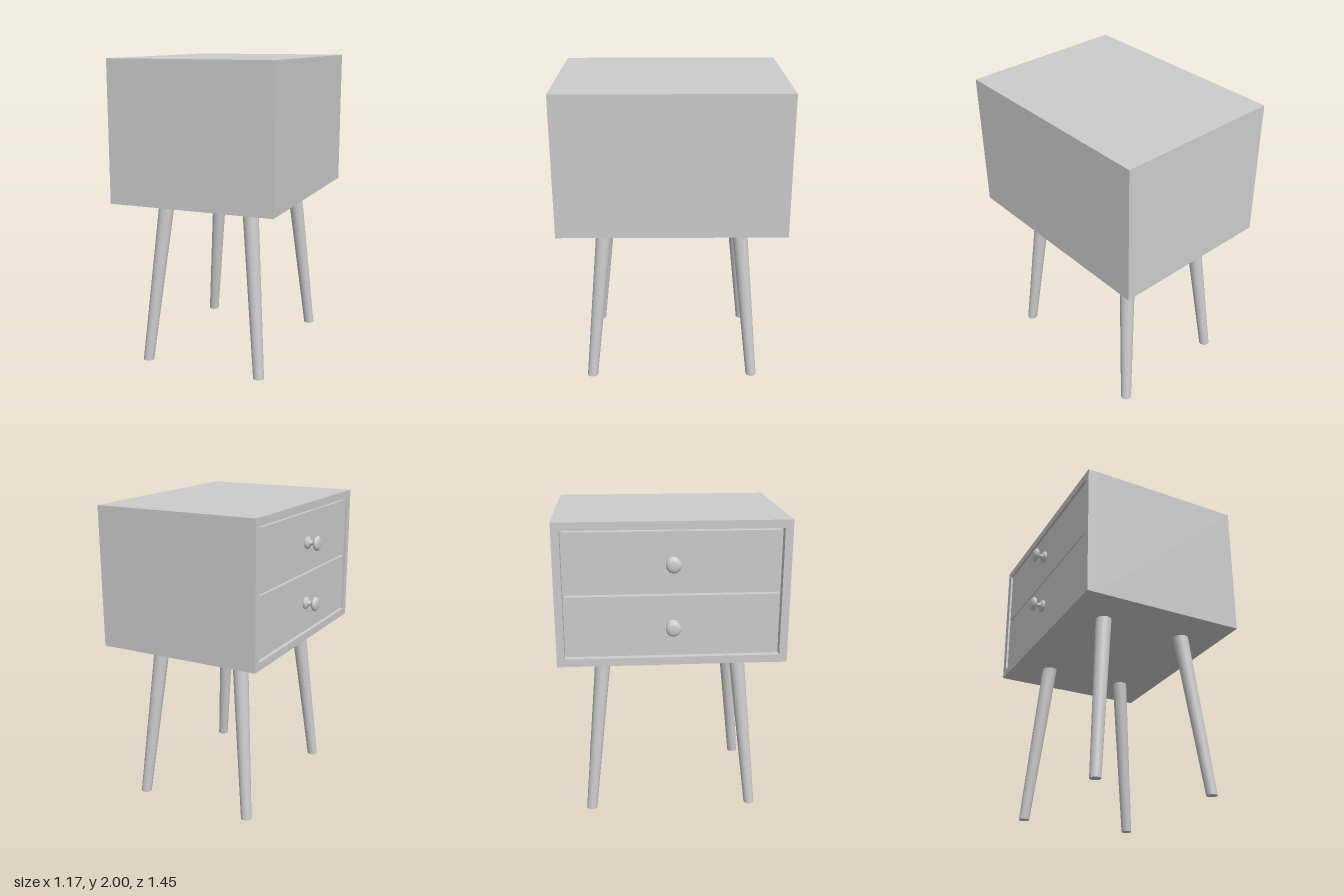
import * as THREE from 'three';

const material = new THREE.MeshStandardMaterial({ color: 0xcccccc });

// Cabinet extents
const FRONT = -0.505, BACK = 0.585, BOTTOM = 1.095, TOP = 2, HALF_W = 0.725;
const FRAME = 0.05, CAVITY = 0.06, GAP = 0.012, RECESS = 0.01;
const MID_X = (FRONT + BACK) / 2, MID_Y = (BOTTOM + TOP) / 2;

function addMesh(parent, name, geometry, x = 0, y = 0, z = 0) {
  const mesh = new THREE.Mesh(geometry, material);
  mesh.name = name;
  mesh.position.set(x, y, z);
  parent.add(mesh);
  return mesh;
}

function rectangle(PathType, halfW, halfH) {
  return new PathType([
    new THREE.Vector2(-halfW, -halfH), new THREE.Vector2(halfW, -halfH),
    new THREE.Vector2(halfW, halfH), new THREE.Vector2(-halfW, halfH),
  ]);
}

// Front rim around the drawers, facing -x
function frameGeometry() {
  const halfH = (TOP - BOTTOM) / 2;
  const shape = rectangle(THREE.Shape, HALF_W, halfH);
  shape.holes.push(rectangle(THREE.Path, HALF_W - FRAME, halfH - FRAME));
  return new THREE.ExtrudeGeometry(shape, { depth: CAVITY, bevelEnabled: false }).rotateY(-Math.PI / 2);
}

// Turned knob: rosette, flared neck and rounded head
function knobGeometry() {
  const control = [
    [0.018, 0.026], [0.013, 0.038], [0.014, 0.048], [0.026, 0.054], [0.041, 0.061],
    [0.047, 0.070], [0.043, 0.081], [0.028, 0.090], [0, 0.093],
  ].map(([r, h]) => new THREE.Vector2(r, h));
  const curve = new THREE.SplineCurve(control).getPoints(32);
  curve.forEach((p) => { p.x = Math.max(p.x, 0); });
  const rosette = [[0.038, 0], [0.041, 0.008], [0.038, 0.016], [0.026, 0.021]]
    .map(([r, h]) => new THREE.Vector2(r, h));
  return new THREE.LatheGeometry([...rosette, ...curve], 40).rotateZ(Math.PI / 2);
}

// Tapered leg sheared outwards so both ends stay level
function legGeometry(splayX, splayZ) {
  const geometry = new THREE.CylinderGeometry(0.051, 0.035, BOTTOM, 32);
  geometry.translate(0, BOTTOM / 2, 0);
  const shear = new THREE.Matrix4().set(
    1, -splayX / BOTTOM, 0, splayX,
    0, 1, 0, 0,
    0, -splayZ / BOTTOM, 1, splayZ,
    0, 0, 0, 1,
  );
  return geometry.applyMatrix4(shear);
}

export function createModel() {
  const model = new THREE.Group();
  model.name = 'nightstand';

  // Cabinet
  const bodyDepth = BACK - FRONT - CAVITY;
  addMesh(model, 'cabinetBody', new THREE.BoxGeometry(bodyDepth, TOP - BOTTOM, HALF_W * 2),
    BACK - bodyDepth / 2, MID_Y, 0);
  addMesh(model, 'cabinetFrame', frameGeometry(), FRONT + CAVITY, MID_Y, 0);

  // Two drawers with knobs
  const openingH = TOP - BOTTOM - FRAME * 2;
  const drawerH = (openingH - GAP * 3) / 2;
  const drawerW = (HALF_W - FRAME - GAP) * 2;
  const thickness = CAVITY - RECESS;
  const knob = knobGeometry();
  for (const [side, name] of [[1, 'upperDrawer'], [-1, 'lowerDrawer']]) {
    const drawer = new THREE.Group();
    drawer.name = name;
    drawer.position.set(FRONT + RECESS, MID_Y + side * (drawerH + GAP) / 2, 0);
    addMesh(drawer, 'drawerFront', new THREE.BoxGeometry(thickness, drawerH, drawerW), thickness / 2, 0, 0);
    addMesh(drawer, 'knob', knob);
    model.add(drawer);
  }

  // Four splayed legs
  for (const sx of [-1, 1]) {
    for (const sz of [-1, 1]) {
      const name = (sx < 0 ? 'drawerSide' : 'rearSide') + (sz < 0 ? 'LegA' : 'LegB');
      addMesh(model, name, legGeometry(sx * 0.105, sz * 0.108), MID_X + sx * 0.29, 0, sz * 0.437);
    }
  }
  return model;
}
